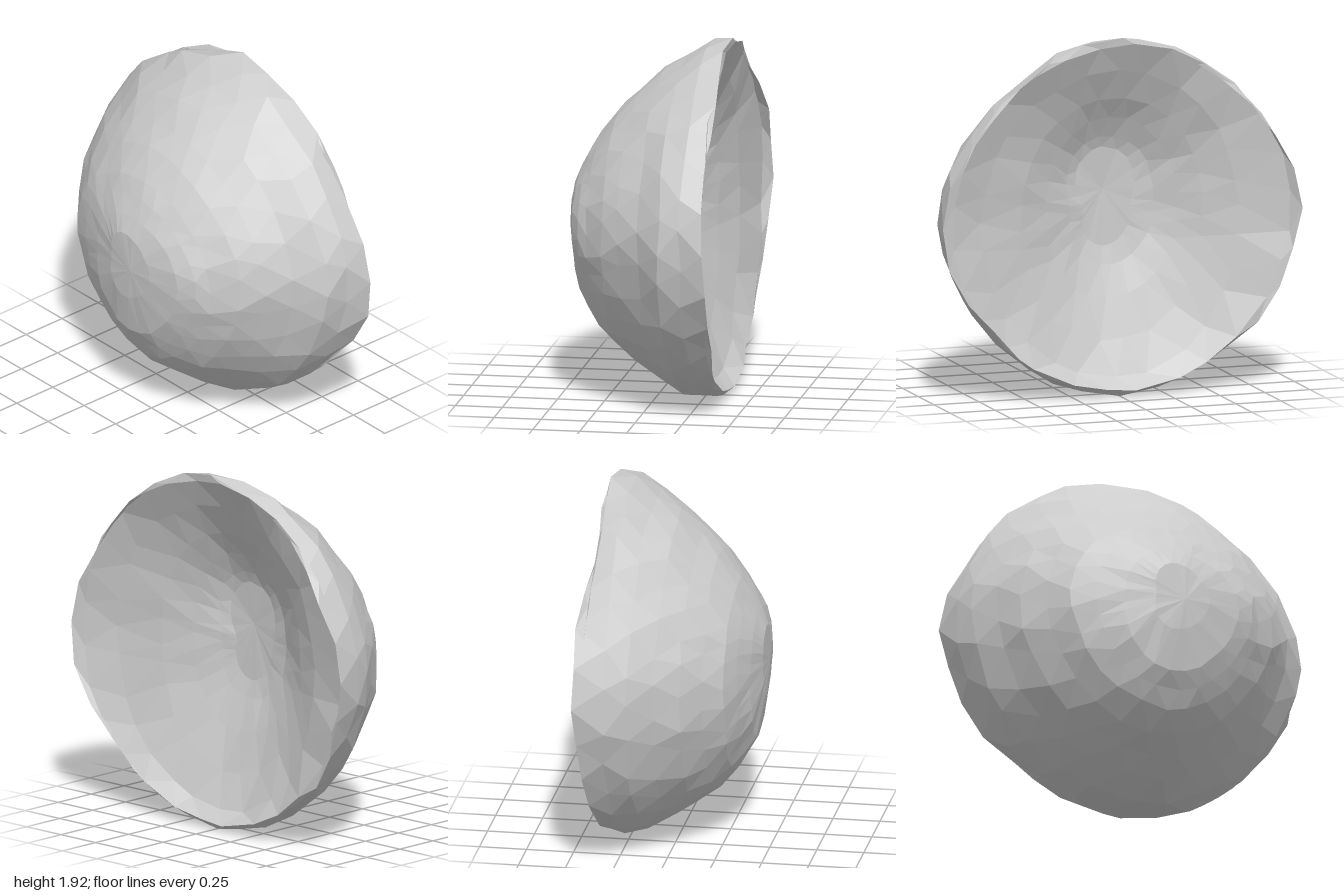
import * as THREE from 'three';

const SIDES = 28, CY = 0.97;

// Cross-sections: [x, radius towards +z, up, -z, down]
const OUTER = [
  [-0.44, 0.2, 0.18, 0.1, 0.2], [-0.4, 0.38, 0.27, 0.26, 0.42], [-0.35, 0.47, 0.36, 0.41, 0.51],
  [-0.3, 0.53, 0.44, 0.53, 0.6], [-0.2, 0.65, 0.58, 0.63, 0.7], [-0.1, 0.73, 0.67, 0.74, 0.78],
  [0.02, 0.82, 0.78, 0.82, 0.86], [0.15, 0.94, 0.86, 0.91, 0.94], [0.27, 0.97, 0.94, 0.95, 0.96],
];
const INNER = [
  [0.38, 0.94, 0.92, 0.93, 0.92], [0.31, 0.76, 0.77, 0.67, 0.86], [0.23, 0.51, 0.61, 0.5, 0.68],
  [0.16, 0.34, 0.5, 0.38, 0.47], [0.1, 0.19, 0.39, 0.27, 0.3], [0.075, 0.11, 0.33, 0.15, 0.2],
];
// Outline of the broken rim: [x, y, z] anticlockwise from the front
const RIM = [
  [0.4, 0.92, 1], [0.39, 1.1, 1], [0.38, 1.36, 0.85], [0.4, 1.56, 0.7], [0.4, 1.74, 0.52],
  [0.37, 1.9, 0.22], [0.39, 1.94, 0.05], [0.38, 1.87, -0.18], [0.365, 1.8, -0.36], [0.37, 1.65, -0.58],
  [0.44, 1.39, -0.82], [0.41, 1.28, -0.87], [0.44, 1.07, -1], [0.42, 0.85, -0.95], [0.4, 0.62, -0.9],
  [0.375, 0.36, -0.75], [0.34, 0.16, -0.4], [0.345, 0.01, -0.1], [0.33, 0.03, 0.12], [0.36, 0.13, 0.4],
  [0.4, 0.4, 0.71], [0.41, 0.74, 0.97],
];

function seeded(seed) {
  return () => {
    seed = (seed * 16807) % 2147483647;
    return (seed / 2147483647) * 2 - 1;
  };
}

// Blend the four measured radii around the ring
function radiusAt(row, a) {
  const q = ((a / (Math.PI / 2)) % 4 + 4) % 4, k = Math.floor(q);
  const s = Math.sin((q - k) * Math.PI / 2) ** 2;
  return row[1 + k] * (1 - s) + row[1 + (k + 1) % 4] * s;
}

// The outside is a little flatter on the diagonals, mostly at the front
const flatten = (a) => 1 - (Math.cos(a) > 0 ? 0.04 : 0.015) * Math.sin(2 * a) ** 2;

// One rough ring; every other ring is turned by half a facet
function ring(row, index, noise, scale) {
  return Array.from({ length: SIDES }, (_, j) => {
    const a = ((j + (index % 2) * 0.5 + noise() * 0.2) / SIDES) * Math.PI * 2;
    const base = radiusAt(row, a) * scale(a);
    const r = base * (1 + noise() * 0.012);
    return [row[0] + noise() * 0.012 * base, CY + r * Math.sin(a), r * Math.cos(a)];
  });
}

// Sample the closed rim outline at even angles
function rimRing() {
  const pts = RIM.map(([x, y, z]) => {
    const a = Math.atan2(y - CY, z);
    return { a: a < -0.06 ? a + Math.PI * 2 : a, x, r: Math.hypot(y - CY, z) };
  }).sort((p, q) => p.a - q.a);
  pts.push({ ...pts[0], a: pts[0].a + Math.PI * 2 });
  return Array.from({ length: SIDES }, (_, j) => {
    const a = (j / SIDES) * Math.PI * 2;
    const k = Math.max(1, pts.findIndex((p) => p.a >= a));
    const p = pts[k - 1], q = pts[k], t = (a - p.a) / (q.a - p.a);
    const r = p.r + (q.r - p.r) * t;
    return [p.x + (q.x - p.x) * t, CY + r * Math.sin(a), r * Math.cos(a)];
  });
}

// Join rings with facets; a single-point end closes as a fan
function loft(rings) {
  const pos = [];
  const tri = (a, b, c) => pos.push(...a, ...b, ...c);
  for (let i = 0; i + 1 < rings.length; i++) {
    const A = rings[i], B = rings[i + 1];
    for (let j = 0; j < SIDES; j++) {
      const n = (j + 1) % SIDES;
      if (A.length === 1) tri(A[0], B[j], B[n]);
      else if (B.length === 1) tri(A[j], B[0], A[n]);
      else if (i % 2) {
        tri(A[j], B[j], B[n]);
        tri(A[j], B[n], A[n]);
      } else {
        tri(A[j], B[j], A[n]);
        tri(B[j], B[n], A[n]);
      }
    }
  }
  const g = new THREE.BufferGeometry();
  g.setAttribute('position', new THREE.Float32BufferAttribute(pos, 3));
  g.computeVertexNormals();
  return g;
}

export function createModel() {
  const group = new THREE.Group();
  group.name = 'halfShell';
  const noise = seeded(4711);
  const material = new THREE.MeshStandardMaterial({
    color: 0xcccccc, flatShading: true, side: THREE.DoubleSide,
  });
  const rim = rimRing();
  const add = (name, rings) => {
    const mesh = new THREE.Mesh(loft(rings), material);
    mesh.name = name;
    group.add(mesh);
  };

  // Rough domed outside, closing at the back of the dome
  add('outerShell', [
    [[-0.45, CY - 0.02, 0.06]], ...OUTER.map((r, i) => ring(r, i + 1, noise, flatten)), rim,
  ]);
  // Shallow hollow inside, with a steeper wall above its floor
  add('innerHollow', [
    rim, ...INNER.map((r, i) => ring(r, i + 1, noise, () => 1)), [[0.06, CY + 0.1, 0]],
  ]);
  return group;
}
